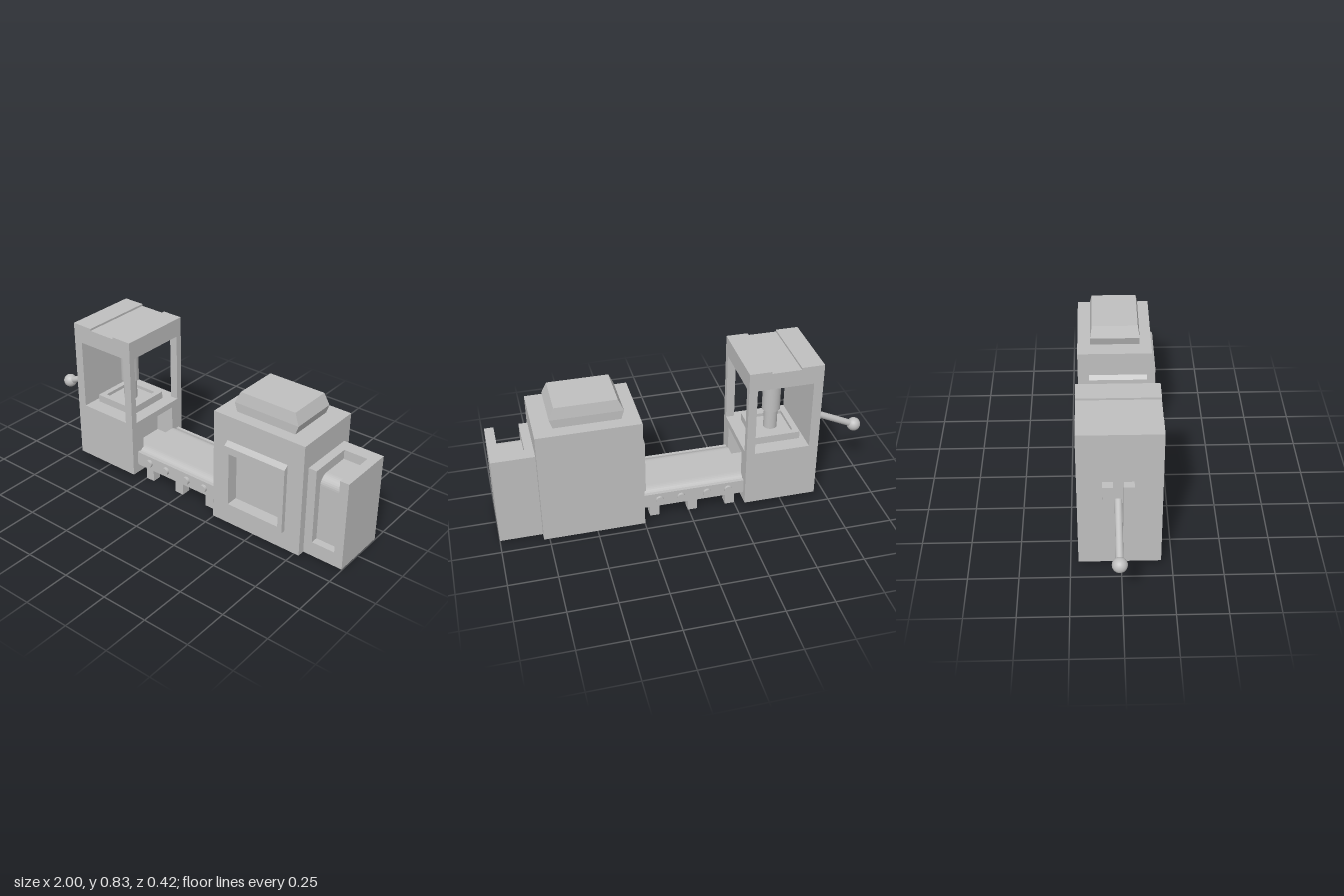
import * as THREE from 'three';

const grey = new THREE.MeshStandardMaterial({ color: 0xbfbfbf, side: THREE.DoubleSide });
grey.name = 'plain grey';

export function createModel() {
  const root = new THREE.Group();
  root.name = 'pressAndFurnaceLine';

  const group = (name) => {
    const g = new THREE.Group();
    g.name = name;
    root.add(g);
    return g;
  };
  const add = (parent, name, geo) => {
    const m = new THREE.Mesh(geo, grey);
    m.name = name;
    parent.add(m);
    return m;
  };
  // Box from its limits; skip lists faces left open (0 +x, 1 -x, 2 +y, 3 -y, 4 +z, 5 -z)
  const box = (parent, name, [x0, x1], [y0, y1], [z0, z1], skip = []) => {
    const geo = new THREE.BoxGeometry(x1 - x0, y1 - y0, z1 - z0);
    const index = [...geo.index.array].filter((_, i) => !skip.includes(Math.floor(i / 6)));
    geo.setIndex(index);
    geo.clearGroups();
    geo.translate((x0 + x1) / 2, (y0 + y1) / 2, (z0 + z1) / 2);
    return add(parent, name, geo);
  };
  const rect = (C, [a0, a1], [b0, b1]) =>
    new C([[a0, b0], [a1, b0], [a1, b1], [a0, b1]].map(p => new THREE.Vector2(...p)));
  const holed = (a, b, ha, hb) => {
    const s = rect(THREE.Shape, a, b);
    s.holes.push(rect(THREE.Path, ha, hb));
    return s;
  };
  // Raised frame with a sloping top edge, standing out from z = 0
  const frameGeo = (a, b, ha, hb, depth) => {
    const geo = new THREE.ExtrudeGeometry(holed(a, b, ha, hb), { depth, bevelEnabled: false });
    const p = geo.attributes.position;
    for (let i = 0; i < p.count; i++) {
      if (p.getY(i) > b[1] - 0.001 && p.getZ(i) > depth / 2) p.setY(i, b[1] - 0.02);
    }
    geo.computeVertexNormals();
    return geo;
  };
  const cyl = (parent, name, r, a, b, seg = 24) => {
    const from = new THREE.Vector3(...a), to = new THREE.Vector3(...b);
    const m = add(parent, name, new THREE.CylinderGeometry(r, r, from.distanceTo(to), seg));
    m.position.copy(from).add(to).multiplyScalar(0.5);
    m.quaternion.setFromUnitVectors(new THREE.Vector3(0, 1, 0), to.sub(from).normalize());
    return m;
  };

  // Press: hollow base open below, with a recess where the conveyor arrives
  const press = group('press');
  const px = [-0.68, -0.29], pz = [-0.21, 0.195];
  const mouthZ = [-0.13, 0.11], mouthY = [0.13, 0.31];
  box(press, 'pressBase', px, [0.035, 0.345], pz, [0, 3]);
  const mouthWall = add(press, 'pressMouthWall',
    new THREE.ShapeGeometry(holed(pz, [0.035, 0.345], mouthZ, mouthY)).rotateY(-Math.PI / 2));
  mouthWall.position.x = px[1];
  box(press, 'pressMouth', [-0.4, px[1]], mouthY, mouthZ, [0]);

  // Press head: closed outer wall, two posts, roof with a shallow channel
  box(press, 'pressOuterWall', [-0.68, -0.63], [0.345, 0.725], pz);
  for (const z of [[-0.21, -0.175], [0.16, 0.195]]) {
    box(press, 'pressPost', [-0.335, -0.29], [0.345, 0.725], z);
  }
  box(press, 'pressRoof', px, [0.725, 0.815], pz);
  box(press, 'roofPlate', [-0.68, -0.56], [0.815, 0.826], pz);
  box(press, 'roofPlate', [-0.405, -0.29], [0.815, 0.826], pz);

  // Ram and work tray
  cyl(press, 'ramCylinder', 0.048, [-0.482, 0.48, -0.008], [-0.482, 0.73, -0.008]);
  cyl(press, 'ramRod', 0.036, [-0.482, 0.36, -0.008], [-0.482, 0.48, -0.008]);
  box(press, 'trayFloor', [-0.605, -0.36], [0.345, 0.368], [-0.13, 0.115]);
  const rim = add(press, 'trayRim', new THREE.ExtrudeGeometry(
    holed([-0.605, -0.36], [-0.13, 0.115], [-0.575, -0.39], [-0.1, 0.085]),
    { depth: 0.02, bevelEnabled: false }).rotateX(Math.PI / 2));
  rim.position.y = 0.386;

  // Lever between two guide bars
  const lever = group('lever');
  box(lever, 'guideBar', [-0.72, -0.68], [0.295, 0.55], [-0.09, -0.04]);
  box(lever, 'guideBar', [-0.72, -0.68], [0.295, 0.55], [0.01, 0.06]);
  cyl(lever, 'leverArm', 0.018, [-0.675, 0.435, -0.015], [-0.963, 0.3, -0.015], 16);
  add(lever, 'leverKnob', new THREE.SphereGeometry(0.037, 24, 16)).position.set(-0.963, 0.3, -0.015);

  // Conveyor: bed, rails, rounded belt, bolts and feet
  const conveyor = group('conveyor');
  const cx = [-0.29, 0.25];
  box(conveyor, 'conveyorBed', cx, [0.085, 0.13], [-0.165, 0.14]);
  box(conveyor, 'rail', cx, [0.085, 0.163], [0.14, 0.158]);
  box(conveyor, 'rail', cx, [0.085, 0.163], [-0.182, -0.165]);
  const belt = new THREE.Shape();
  belt.moveTo(-0.14, 0.13);
  belt.quadraticCurveTo(-0.14, 0.177, -0.09, 0.177);
  belt.lineTo(0.115, 0.177);
  belt.quadraticCurveTo(0.165, 0.177, 0.165, 0.13);
  const beltGeo = new THREE.ExtrudeGeometry(belt, { depth: cx[1] - cx[0], bevelEnabled: false, curveSegments: 8 });
  add(conveyor, 'belt', beltGeo.rotateY(Math.PI / 2)).position.x = cx[0];
  for (const x of [-0.205, -0.09, 0.05, 0.165]) {
    cyl(conveyor, 'bolt', 0.021, [x, 0.125, 0.15], [x, 0.125, 0.174], 16);
    cyl(conveyor, 'bolt', 0.021, [x, 0.125, -0.175], [x, 0.125, -0.196], 16);
  }
  for (const x of [-0.225, -0.02, 0.185]) {
    for (const z of [0.11, -0.125]) {
      box(conveyor, 'foot', [x - 0.025, x + 0.025], [0, 0.09], [z - 0.025, z + 0.025]);
    }
  }

  // Furnace: hollow body open below, framed recesses at the front and conveyor side
  const furnace = group('furnace');
  const fx = [0.25, 0.78], fy = [0.005, 0.63], fz = [-0.21, 0.186];
  const doorX = [0.362, 0.664], doorY = [0.14, 0.435];
  const inZ = [-0.12, 0.13], inY = [0.11, 0.45];
  box(furnace, 'furnaceBody', fx, fy, fz, [1, 3, 4]);
  add(furnace, 'furnaceFront', new THREE.ShapeGeometry(holed(fx, fy, doorX, doorY))).position.z = fz[1];
  box(furnace, 'doorRecess', doorX, doorY, [0.145, fz[1]], [4]);
  add(furnace, 'doorFrame', frameGeo([0.335, 0.69], [0.112, 0.495], doorX, doorY, 0.025)).position.z = fz[1];
  add(furnace, 'inletWall',
    new THREE.ShapeGeometry(holed(fz, fy, inZ, inY)).rotateY(-Math.PI / 2)).position.x = fx[0];
  box(furnace, 'inletRecess', [fx[0], 0.33], inY, inZ, [1]);
  add(furnace, 'inletFrame',
    frameGeo([-0.15, 0.16], [0.085, 0.495], inZ, inY, 0.02).rotateY(-Math.PI / 2)).position.x = fx[0];

  // Hood: box bulging at mid height
  const hood = new THREE.BoxGeometry(1, 2, 1, 1, 2, 1).toNonIndexed();
  const levels = [[0.63, 0.17, 0.132], [0.677, 0.185, 0.132], [0.738, 0.158, 0.122]];
  const hp = hood.attributes.position;
  for (let i = 0; i < hp.count; i++) {
    const [y, w, d] = levels[Math.round(hp.getY(i)) + 1];
    hp.setXYZ(i, 0.512 + Math.sign(hp.getX(i)) * w, y, -0.009 + Math.sign(hp.getZ(i)) * d);
  }
  hood.computeVertexNormals();
  add(furnace, 'hood', hood);

  // Side bin: hollow box with a channel running over its top and down its front
  const bin = group('sideBin');
  const bx = [0.78, 1], by = [0.005, 0.495], bz = [-0.165, 0.145], slot = [0.825, 0.952];
  box(bin, 'binBody', bx, by, bz, [2, 3, 4]);
  const notched = (b, h0) => new THREE.Shape([[bx[0], b[0]], [bx[1], b[0]], [bx[1], b[1]], [slot[1], b[1]],
    [slot[1], h0], [slot[0], h0], [slot[0], b[1]], [bx[0], b[1]]].map(p => new THREE.Vector2(...p)));
  add(bin, 'binFront', new THREE.ShapeGeometry(notched(by, 0.085))).position.z = bz[1];
  add(bin, 'binTop', new THREE.ShapeGeometry(notched(bz, -0.095)).rotateX(Math.PI / 2)).position.y = by[1];

  // Channel lining: rounded chute strip and its two cheeks
  const path = [[0.145, 0.085], [0.105, 0.085], [0.105, 0.395]];
  for (let i = 1; i <= 8; i++) {
    const a = i / 8 * Math.PI / 2;
    path.push([0.055 + 0.05 * Math.cos(a), 0.395 + 0.05 * Math.sin(a)]);
  }
  path.push([-0.095, 0.445], [-0.095, 0.495]);
  const pos = [], idx = [];
  path.forEach(([z, y], i) => {
    pos.push(slot[0], y, z, slot[1], y, z);
    const k = i * 2;
    if (i) idx.push(k - 2, k - 1, k, k - 1, k + 1, k);
  });
  let chute = new THREE.BufferGeometry();
  chute.setAttribute('position', new THREE.Float32BufferAttribute(pos, 3));
  chute.setIndex(idx);
  chute = chute.toNonIndexed();
  chute.computeVertexNormals();
  add(bin, 'chute', chute);
  const cheek = new THREE.Shape([...path, [0.145, 0.495]].map(p => new THREE.Vector2(...p)));
  for (const x of slot) {
    add(bin, 'chuteCheek', new THREE.ShapeGeometry(cheek).rotateY(-Math.PI / 2)).position.x = x;
  }

  return root;
}
